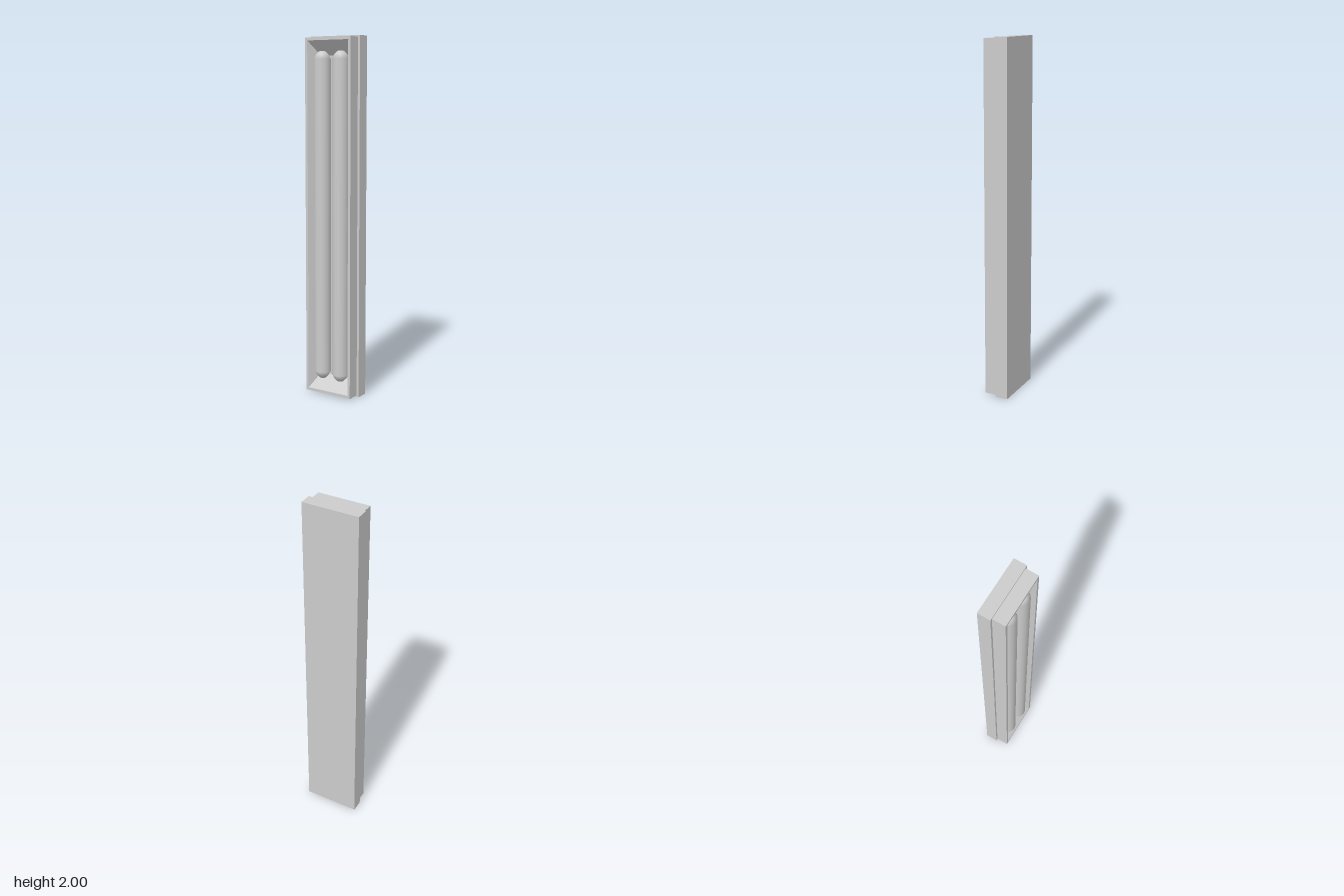
import * as THREE from 'three';

const material = () => new THREE.MeshStandardMaterial({ color: 0xcccccc });

function addMesh(parent, name, geometry, x = 0, y = 0, z = 0) {
  const mesh = new THREE.Mesh(geometry, material());
  mesh.name = name;
  mesh.position.set(x, y, z);
  parent.add(mesh);
  return mesh;
}

// Joins rectangular rings [halfWidth, halfHeight, z] with flat quads, capping the last
function ringShell(rings) {
  const pos = [];
  const corners = ([w, h, z]) => [[-w, -h, z], [w, -h, z], [w, h, z], [-w, h, z]];
  const quad = (a, b, c, d) => pos.push(...a, ...b, ...c, ...a, ...c, ...d);
  for (let i = 0; i < rings.length - 1; i++) {
    const a = corners(rings[i]), b = corners(rings[i + 1]);
    for (let k = 0; k < 4; k++) {
      const n = (k + 1) % 4;
      quad(a[k], a[n], b[n], b[k]);
    }
  }
  quad(...corners(rings[rings.length - 1]));
  const g = new THREE.BufferGeometry();
  g.setAttribute('position', new THREE.Float32BufferAttribute(pos, 3));
  g.computeVertexNormals();
  return g;
}

export function createModel() {
  const model = new THREE.Group();
  model.name = 'tubeLightFixture';

  // Mounting box against the wall
  addMesh(model, 'backBox', new THREE.BoxGeometry(0.32, 2, 0.071), 0, 1, -0.0395);

  // Narrower front frame with a thin rim and a sloped reflector recess
  addMesh(model, 'reflectorFrame', ringShell([
    [0.147, 0.992, -0.004],
    [0.147, 0.992, 0.068],
    [0.132, 0.976, 0.068],
    [0.087, 0.896, 0],
  ]), 0, 1, 0);

  // Two lamp tubes with tapered ends
  const half = [[0.047, 0.875], [0.034, 0.9], [0.018, 0.916], [0, 0.919]];
  const profile = [
    ...[...half].reverse().map(([r, y]) => new THREE.Vector2(r, -y)),
    ...half.map(([r, y]) => new THREE.Vector2(r, y)),
  ];
  [['rightTube', -0.062], ['leftTube', 0.057]].forEach(([name, x]) => {
    addMesh(model, name, new THREE.LatheGeometry(profile, 16), x, 1.002, 0.026);
  });

  return model;
}
